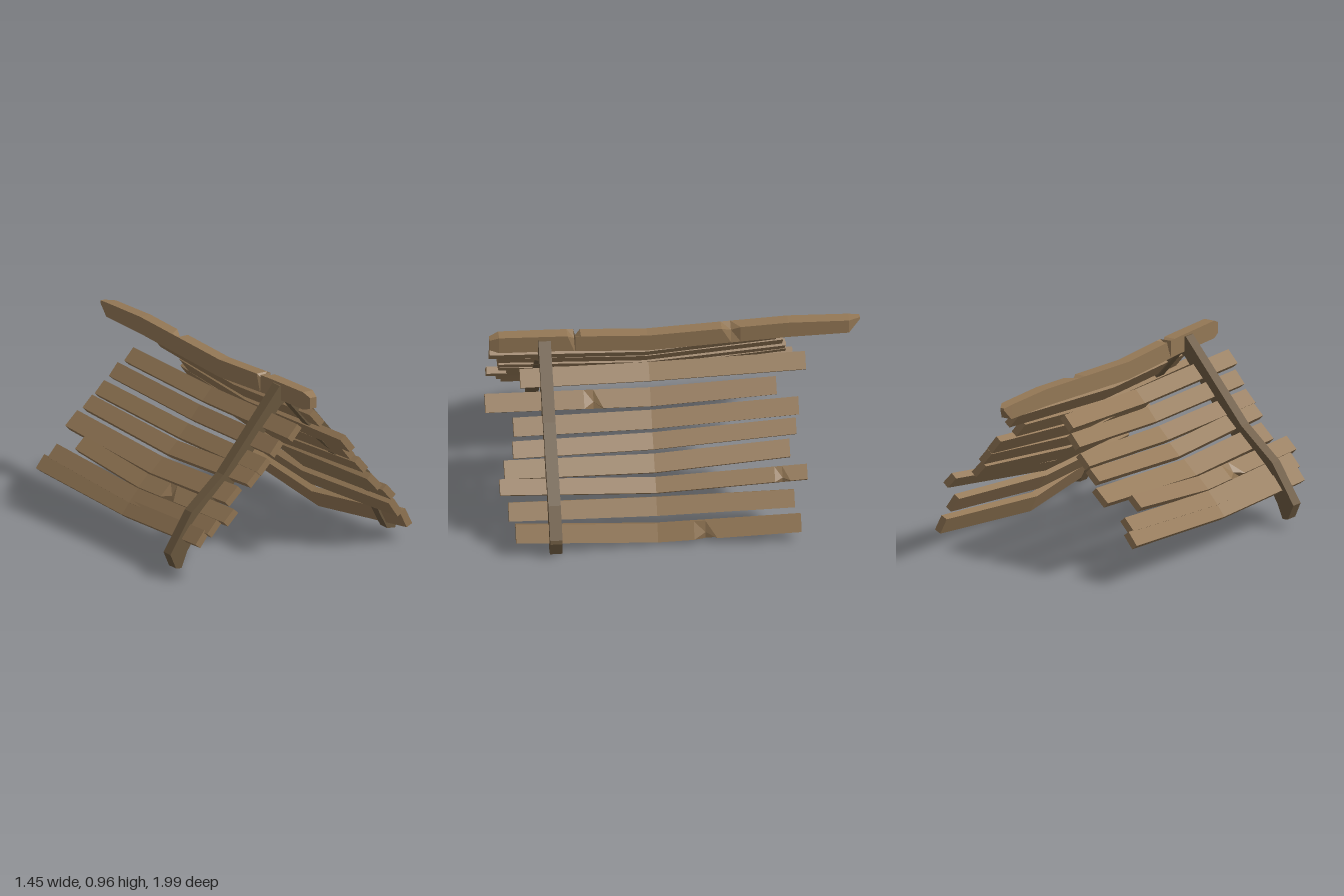
import * as THREE from 'three';

const wood = new THREE.MeshStandardMaterial({ color: 0x937755 });
wood.name = 'weathered wood';
const darkWood = new THREE.MeshStandardMaterial({ color: 0x6b583f });
darkWood.name = 'dark wood';

// Corner signs of a four-sided section, counter-clockwise seen from the front
const CORNERS = [[-1, -1], [1, -1], [1, 1], [-1, 1]];

// Value at z along path points [z, x, y, width, thickness]
function sample(path, z) {
  let k = 0;
  while (k < path.length - 2 && z > path[k + 1][0]) k++;
  const a = path[k], b = path[k + 1], t = (z - a[0]) / (b[0] - a[0]);
  return a.map((v, i) => v + (b[i] - v) * t);
}

// Sawn timber lofted from back to front; each chip pulls one corner in at z
function timber(name, path, roll, chips = []) {
  const zs = path.map(p => p[0]);
  for (const c of chips) zs.push(c.z - c.size, c.z, c.z + c.size);
  zs.sort((a, b) => a - b);
  const cos = Math.cos(roll), sin = Math.sin(roll);
  const rings = zs.map(z => {
    const [, x, y, w, h] = sample(path, z);
    return CORNERS.map(([cu, cv], i) => {
      const chip = chips.find(c => c.z === z && c.corner === i);
      const u = cu * w / 2 * (chip ? 1 - chip.depth : 1);
      const v = cv * h / 2 * (chip ? 1 - chip.depth : 1);
      return [x + u * cos - v * sin, y + u * sin + v * cos, z];
    });
  });
  const pos = [];
  const quad = (a, b, c, d) => pos.push(...a, ...b, ...c, ...a, ...c, ...d);
  for (let k = 0; k < rings.length - 1; k++) {
    for (let i = 0; i < 4; i++) {
      const j = (i + 1) % 4;
      quad(rings[k][i], rings[k][j], rings[k + 1][j], rings[k + 1][i]);
    }
  }
  quad(...rings[rings.length - 1]);
  quad(...[...rings[0]].reverse());
  const geo = new THREE.BufferGeometry();
  geo.setAttribute('position', new THREE.Float32BufferAttribute(pos, 3));
  geo.computeVertexNormals();
  const mesh = new THREE.Mesh(geo, wood);
  mesh.name = name;
  return mesh;
}

// Planks: [back z, x, y], [sagging middle x, y], [front z, x, y], slope in degrees, width
const LEFT_PLANKS = [
  [[-0.70, 0.14, 0.79], [0.11, 0.75], [0.80, 0.13, 0.765], 50, 0.10],
  [[-0.54, 0.21, 0.69], [0.19, 0.645], [0.99, 0.195, 0.665], 52, 0.10],
  [[-0.65, 0.29, 0.61], [0.26, 0.55], [0.85, 0.29, 0.57], 52, 0.10],
  [[-0.63, 0.36, 0.53], [0.33, 0.46], [0.86, 0.37, 0.48], 50, 0.09],
  [[-0.59, 0.43, 0.44], [0.405, 0.37], [0.91, 0.42, 0.39], 48, 0.10],
  [[-0.67, 0.56, 0.375], [0.49, 0.29], [0.94, 0.49, 0.33], 48, 0.085],
  [[-0.60, 0.59, 0.23], [0.54, 0.19], [0.90, 0.56, 0.22], 56, 0.10],
  [[-0.63, 0.645, 0.11], [0.595, 0.06], [0.87, 0.645, 0.14], 64, 0.10],
];
const RIGHT_PLANKS = [
  [[-0.57, -0.12, 0.78], [-0.09, 0.745], [0.94, -0.105, 0.765], 48, 0.09],
  [[-0.61, -0.19, 0.70], [-0.165, 0.66], [0.89, -0.185, 0.68], 50, 0.09],
  [[-0.63, -0.265, 0.61], [-0.24, 0.57], [0.88, -0.26, 0.59], 46, 0.09],
  [[-0.64, -0.335, 0.54], [-0.31, 0.49], [0.87, -0.315, 0.53], 44, 0.09],
  [[-0.68, -0.41, 0.45], [-0.41, 0.41], [0.82, -0.41, 0.44], 43, 0.11],
  [[-0.48, -0.49, 0.385], [-0.495, 0.34], [0.92, -0.495, 0.365], 44, 0.09],
  [[-0.64, -0.555, 0.31], [-0.555, 0.27], [0.86, -0.56, 0.30], 48, 0.09],
  [[-0.68, -0.605, 0.25], [-0.60, 0.215], [0.83, -0.615, 0.245], 52, 0.09],
];
const LEFT_CHIPS = {
  1: { z: 0.42, corner: 2, depth: 0.7, size: 0.05 },
  5: { z: -0.54, corner: 2, depth: 0.5, size: 0.04 },
  7: { z: -0.13, corner: 2, depth: 0.7, size: 0.06 },
};
const RIGHT_CHIPS = { 5: { z: 0.39, corner: 3, depth: 0.7, size: 0.06 } };

function plankSlope(name, planks, chips, turn) {
  const group = new THREE.Group();
  group.name = name;
  planks.forEach(([b, m, f, deg, w], i) => {
    const t = 0.038;
    const path = [[...b, w * 0.95, t], [0.12, ...m, w, t], [...f, w, t]];
    const roll = turn * THREE.MathUtils.degToRad(deg);
    group.add(timber('plank' + (i + 1), path, roll, chips[i] ? [chips[i]] : []));
  });
  return group;
}

// Bent rafter cut from an outline and given its depth along z
function rafter(name, outline) {
  const shape = new THREE.Shape(outline.map(([x, y]) => new THREE.Vector2(x, y)));
  const geo = new THREE.ExtrudeGeometry(shape, { depth: 0.065, bevelEnabled: false });
  geo.translate(0, 0, 0.63);
  const mesh = new THREE.Mesh(geo, darkWood);
  mesh.name = name;
  return mesh;
}

export function createModel() {
  const model = new THREE.Group();
  model.name = 'plankRoof';

  // Sagging ridge beam with worn ends and chipped edges
  model.add(timber('ridgeBeam', [
    [-1.0, -0.01, 0.943, 0.025, 0.012],
    [-0.94, 0.005, 0.916, 0.062, 0.078],
    [-0.62, 0.005, 0.918, 0.066, 0.092],
    [0.12, 0.005, 0.883, 0.066, 0.096],
    [0.60, 0.005, 0.91, 0.066, 0.094],
    [0.90, 0.005, 0.917, 0.062, 0.096],
    [0.95, 0.005, 0.914, 0.04, 0.06],
  ], 0, [
    { z: -0.32, corner: 2, depth: 0.5, size: 0.05 },
    { z: 0.5, corner: 3, depth: 0.6, size: 0.04 },
    { z: 0.505, corner: 2, depth: 0.4, size: 0.035 },
  ]));

  // Planked slopes
  model.add(plankSlope('leftSlope', LEFT_PLANKS, LEFT_CHIPS, -1));
  model.add(plankSlope('rightSlope', RIGHT_PLANKS, RIGHT_CHIPS, 1));

  // Front rafters
  model.add(rafter('leftRafter', [
    [0.0, 0.945], [0.0, 0.85], [0.03, 0.835], [0.27, 0.55], [0.52, 0.28],
    [0.60, 0.12], [0.645, 0.035], [0.695, 0.03], [0.72, 0.11], [0.715, 0.13],
    [0.61, 0.28], [0.32, 0.61], [0.05, 0.94],
  ]));
  model.add(rafter('rightRafter', [
    [0.0, 0.85], [0.0, 0.945], [-0.035, 0.945], [-0.39, 0.52], [-0.59, 0.35],
    [-0.725, 0.14], [-0.69, 0.06], [-0.655, 0.055], [-0.62, 0.14],
    [-0.53, 0.28], [-0.34, 0.44], [-0.03, 0.835],
  ]));
  return model;
}
